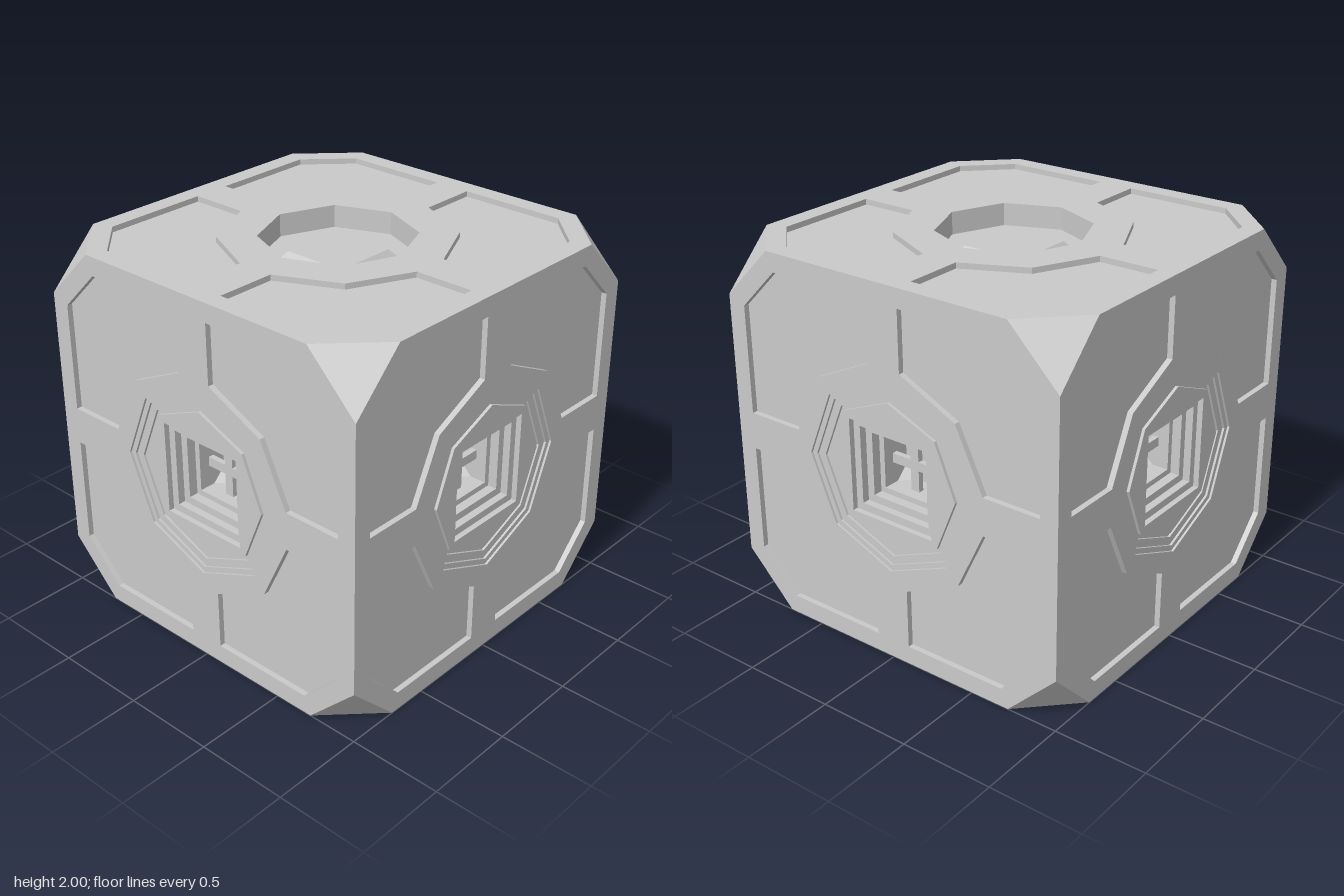
import * as THREE from 'three';

const stone = new THREE.MeshStandardMaterial({ color: 0xcacaca });
stone.name = 'stone grey';

const CUT = 0.28; // size of the cut cube corners

function add(parent, name, geometry) {
  const mesh = new THREE.Mesh(geometry, stone);
  mesh.name = name;
  parent.add(mesh);
  return mesh;
}

// Loops are counter-clockwise lists of [x, y]
const octagon = r => Array.from({ length: 8 }, (_, i) => [r * Math.cos(i * Math.PI / 4), r * Math.sin(i * Math.PI / 4)]);
const square = h => [[-h, -h], [h, -h], [h, h], [-h, h]];
const turn = (loop, q) => loop.map(([x, y]) => [[x, y], [-y, x], [-x, -y], [y, -x]][q]);

// Flat area inside a loop, with holes, sunk below the face
function flat(loop, depth, holes = []) {
  const vec = l => l.map(p => new THREE.Vector2(...p));
  const shape = new THREE.Shape(vec(loop));
  holes.forEach(h => shape.holes.push(new THREE.Path(vec(h))));
  return new THREE.ShapeGeometry(shape).translate(0, 0, 1 - depth);
}

function triangles(points) {
  const g = new THREE.BufferGeometry();
  g.setAttribute('position', new THREE.Float32BufferAttribute(points.flat(), 3));
  g.computeVertexNormals();
  return g;
}

// Strip of flat quads joining loop a at depth da to loop b at depth db
function wall(a, da, b, db) {
  const pts = [];
  a.forEach((_, i) => {
    const j = (i + 1) % a.length;
    const A = [...a[i], 1 - da], B = [...a[j], 1 - da];
    const C = [...b[j], 1 - db], D = [...b[i], 1 - db];
    pts.push(A, C, D, A, B, C);
  });
  return triangles(pts);
}

const k = 1 - CUT;
const outline = [[1, -k], [1, k], [k, 1], [-k, 1], [-1, k], [-1, -k], [-k, -1], [k, -1]];
const panel = [[0.58, 0.1], [0.9, 0.1], [0.9, 0.68], [0.68, 0.9], [0.1, 0.9], [0.1, 0.58], [0.425, 0.425]];
const panels = [0, 1, 2, 3].map(q => turn(panel, q));

// Shallow octagonal steps, then nested square frames: [loop, depth of the ledge inside it]
const steps = [
  [octagon(0.5), 0.012], [octagon(0.47), 0.024], [octagon(0.425), 0.036], [octagon(0.4), 0.02],
  [square(0.25), 0.05], [square(0.21), 0.09], [square(0.17), 0.14], [square(0.14), 0.3],
];

function sidePort(parent) {
  const port = new THREE.Group();
  port.name = 'steppedPort';
  steps.forEach(([loop, depth], i) => {
    add(port, 'stepWall', wall(loop, i ? steps[i - 1][1] : 0, loop, depth));
    add(port, 'stepLedge', flat(loop, depth, i < steps.length - 1 ? [steps[i + 1][0]] : []));
  });
  // window cross
  add(port, 'crossBar', new THREE.BoxGeometry(0.28, 0.05, 0.03)).position.z = 0.785;
  add(port, 'crossPost', new THREE.BoxGeometry(0.05, 0.28, 0.03)).position.z = 0.785;
  // slanted corners at the back of the chamber
  const e = 0.14, c = 0.07, z = 0.7;
  for (let q = 0; q < 4; q++) {
    const corner = triangles([[e, c, z], [e, e, z + 0.07], [c, e, z]]);
    add(port, 'chamberCorner', corner.rotateZ(q * Math.PI / 2));
  }
  parent.add(port);
}

// Top pit with a tapered square block standing in it
function topPit(parent) {
  const pit = new THREE.Group();
  pit.name = 'topPit';
  add(pit, 'pitWall', wall(octagon(0.4), 0, octagon(0.4), 0.12));
  add(pit, 'pitFloor', flat(octagon(0.4), 0.12, [square(0.205)]));
  add(pit, 'blockSides', wall(square(0.205), 0.12, square(0.175), 0.085));
  add(pit, 'blockTop', flat(square(0.175), 0.085));
  parent.add(pit);
}

function face(name, opening) {
  const group = new THREE.Group();
  group.name = name;
  add(group, 'facePlate', flat(outline, 0, opening ? [...panels, octagon(opening)] : panels));
  panels.forEach(p => {
    add(group, 'panelFloor', flat(p, 0.03));
    add(group, 'panelEdge', wall(p, 0, p, 0.03));
  });
  return group;
}

export function createModel() {
  const model = new THREE.Group();
  model.name = 'panelledCube';
  const body = new THREE.Group();
  body.name = 'body';
  body.position.y = 1;
  model.add(body);

  // Four side faces
  ['frontFace', 'leftFace', 'backFace', 'rightFace'].forEach((name, i) => {
    const side = face(name, 0.5);
    sidePort(side);
    side.rotation.y = i * Math.PI / 2;
    body.add(side);
  });

  // Top and bottom faces
  const top = face('topFace', 0.4);
  topPit(top);
  top.rotation.x = -Math.PI / 2;
  const bottom = face('bottomFace', 0);
  bottom.rotation.x = Math.PI / 2;
  body.add(top, bottom);

  // Cut corners, wound to face outward
  for (const x of [-1, 1]) for (const y of [-1, 1]) for (const z of [-1, 1]) {
    const pts = [[x, y, z * k], [x * k, y, z], [x, y * k, z]];
    if (x * y * z < 0) pts.reverse();
    add(body, 'cutCorner', triangles(pts));
  }
  return model;
}
